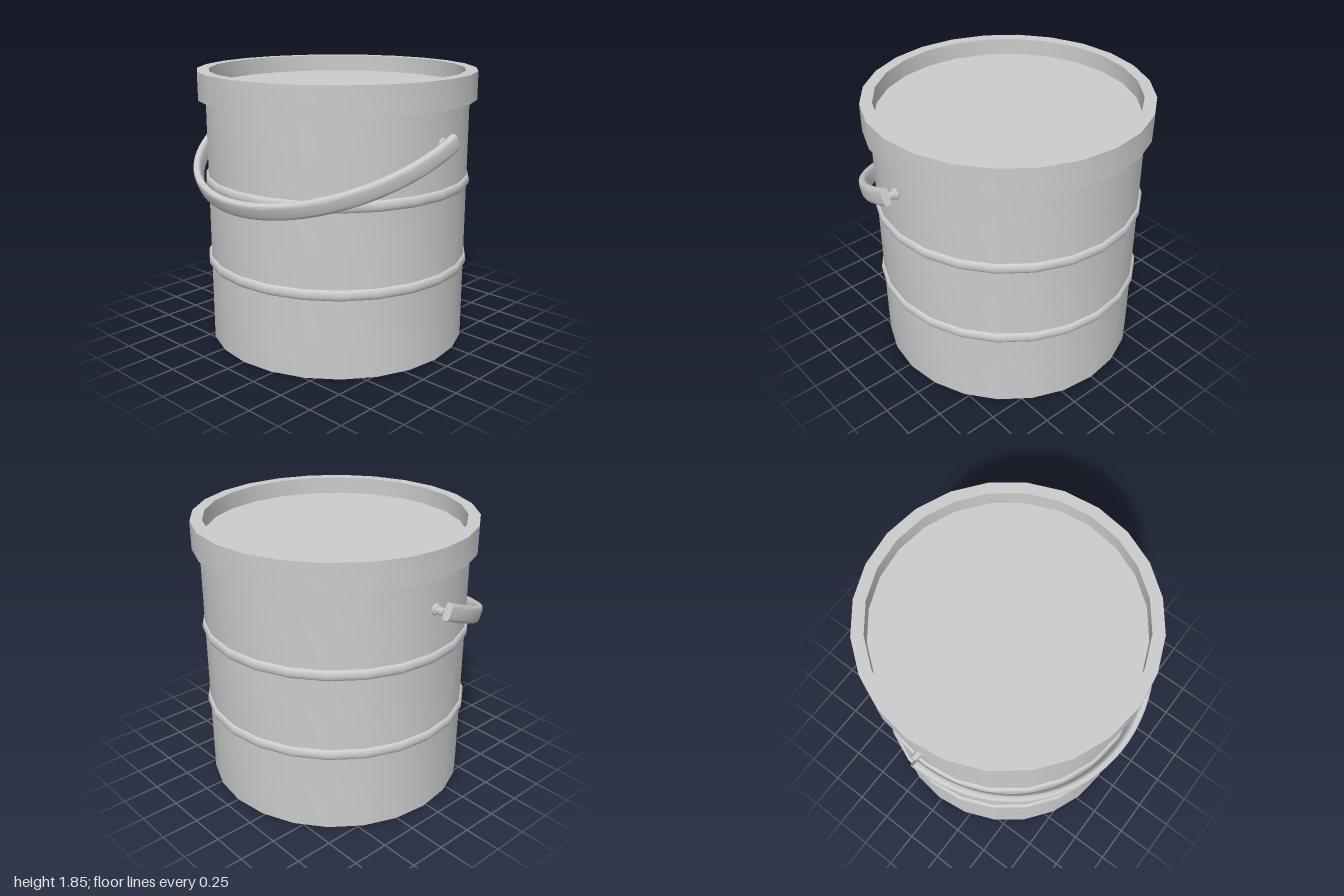
import * as THREE from 'three';
import { toCreasedNormals, mergeVertices } from 'three/addons/utils/BufferGeometryUtils.js';

const SIDES = 24;
const RADIUS = 0.888;
const AXIS_Z = -0.022;
const material = new THREE.MeshStandardMaterial({ color: 0xcccccc });

function addMesh(parent, name, geometry) {
  const mesh = new THREE.Mesh(geometry, material);
  mesh.name = name;
  parent.add(mesh);
  return mesh;
}

// Revolve [radius, y] points with sharp profile corners
function turned(points, sides = SIDES) {
  const lathe = new THREE.LatheGeometry(points.map(([r, y]) => new THREE.Vector2(r, y)), sides);
  return toCreasedNormals(lathe, 0.62);
}

// Rounded bead pressed into the wall
function bead(y) {
  const points = [];
  for (let i = 0; i <= 8; i++) {
    const a = (i / 8) * Math.PI;
    points.push([RADIUS + 0.018 * Math.sin(a), y - 0.035 * Math.cos(a)]);
  }
  return points;
}

// Half-ellipse bail swept with a rounded rectangular section, lying flat in XZ
function bailGeometry(rx, rz, halfThick, halfWidth, steps = 48, around = 20) {
  const positions = [];
  const index = [];
  const soften = (v) => Math.sign(v) * Math.pow(Math.abs(v), 0.55);
  for (let i = 0; i <= steps; i++) {
    const t = (i / steps) * Math.PI;
    const normal = new THREE.Vector2(Math.cos(t) / rx, Math.sin(t) / rz).normalize();
    for (let j = 0; j < around; j++) {
      const a = (j / around) * Math.PI * 2;
      const out = halfThick * soften(Math.cos(a));
      positions.push(
        rx * Math.cos(t) + normal.x * out,
        halfWidth * soften(Math.sin(a)),
        rz * Math.sin(t) + normal.y * out
      );
      if (i < steps) {
        const k = (j + 1) % around;
        const p = i * around + j, q = i * around + k;
        index.push(p, q, p + around, q, q + around, p + around);
      }
    }
  }
  // End caps
  const last = steps * around;
  for (let j = 1; j < around - 1; j++) {
    index.push(0, j + 1, j);
    index.push(last, last + j, last + j + 1);
  }
  const geometry = new THREE.BufferGeometry();
  geometry.setAttribute('position', new THREE.Float32BufferAttribute(positions, 3));
  geometry.setIndex(index);
  return toCreasedNormals(mergeVertices(geometry), 0.8);
}

export function createModel() {
  const model = new THREE.Group();
  model.name = 'bucket';

  const can = new THREE.Group();
  can.name = 'can';
  can.position.z = AXIS_Z;
  model.add(can);

  // Wall with two beads and a flat base
  addMesh(can, 'body', turned([
    [0, 0], [RADIUS, 0], ...bead(0.56), ...bead(1.118), [RADIUS, 1.67],
  ]));

  // Overhanging rim around the recessed lid
  addMesh(can, 'rim', turned([
    [0.87, 1.66], [0.937, 1.66], [0.937, 1.845], [0.858, 1.845], [0.858, 1.73],
  ]));
  addMesh(can, 'lid', turned([[0.86, 1.73], [0, 1.73]]));

  // Flanged pivot pins, one on each side
  for (const [side, label] of [[1, 'left'], [-1, 'right']]) {
    const pin = addMesh(model, `${label}Pivot`, turned([
      [0.024, 0.85], [0.024, 0.887], [0.036, 0.889], [0.038, 0.897],
      [0.034, 0.905], [0.024, 0.908], [0.024, 0.96],
    ], 16));
    pin.rotation.z = -side * Math.PI / 2;
    pin.position.set(0, 1.448, -0.015);
  }

  // Bail handle resting against the front, very slightly skewed
  const handle = addMesh(model, 'handle', bailGeometry(0.972, 1.01, 0.026, 0.056));
  handle.rotation.set(0.405, 0.02, 0);
  handle.position.set(0, 1.46, -0.018);

  return model;
}
